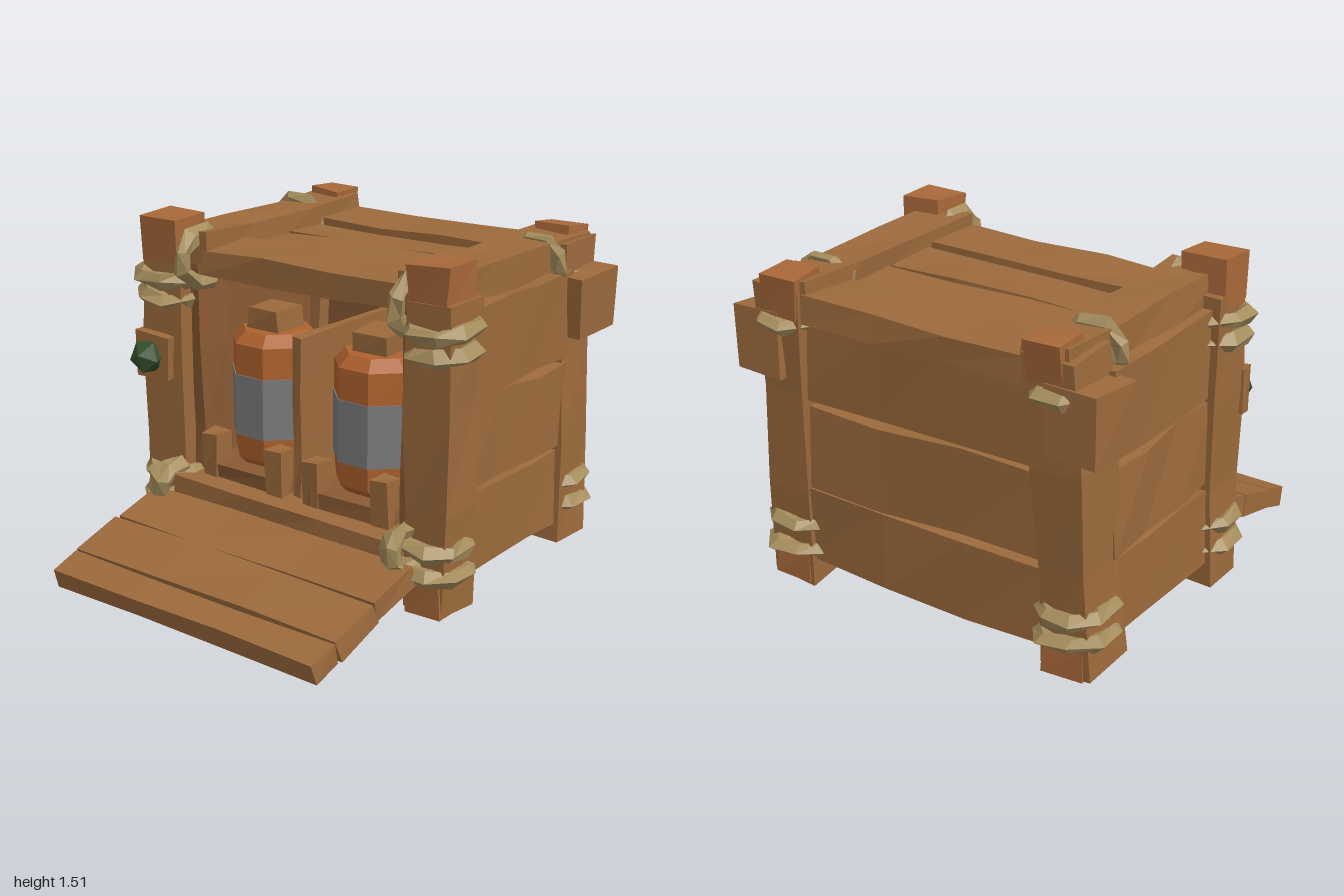
import * as THREE from 'three';

const mat = (color) => new THREE.MeshStandardMaterial({ color, flatShading: true, side: THREE.DoubleSide });
const WOOD = mat(0x9c6a3c), DARK = mat(0x8a5a33), END = mat(0xa8683a), ROPE = mat(0xa48c5c);
const ORANGE = mat(0xb0622e), GREY = mat(0x7c7a7a), GREEN = mat(0x34502c);

// Repeatable offset in -1..1 from a position, so shared corners stay together
function noise(x, y, z, k) {
  const s = Math.sin(Math.round(x * 1000) * 12.9898 + Math.round(y * 1000) * 78.233 + Math.round(z * 1000) * 37.719 + k * 51.17) * 43758.5453;
  return (s - Math.floor(s)) * 2 - 1;
}

let seed = 1;
// Hand-carved look: nudge every corner slightly
function roughen(geo, amount) {
  const p = geo.attributes.position, k = seed++;
  for (let i = 0; i < p.count; i++) {
    const x = p.getX(i), y = p.getY(i), z = p.getZ(i);
    p.setXYZ(i, x + amount * noise(x, y, z, k), y + amount * noise(x, y, z, k + 0.3), z + amount * noise(x, y, z, k + 0.6));
  }
  return geo;
}

function add(parent, name, geo, material, x, y, z, rx = 0, ry = 0, rz = 0) {
  const mesh = new THREE.Mesh(geo, material);
  mesh.name = name;
  mesh.position.set(x, y, z);
  mesh.rotation.set(rx, ry, rz);
  parent.add(mesh);
  return mesh;
}

// Rough timber given by its limits on each axis
function timber(parent, name, [x0, x1], [y0, y1], [z0, z1], material = WOOD, rough = 0.01, rot = [0, 0, 0]) {
  const w = x1 - x0, h = y1 - y0, d = z1 - z0;
  const seg = (s) => (s > 0.5 ? 3 : 1);
  const geo = roughen(new THREE.BoxGeometry(w, h, d, seg(w), seg(h), seg(d)), rough);
  return add(parent, name, geo, material, (x0 + x1) / 2, (y0 + y1) / 2, (z0 + z1) / 2, ...rot);
}

// Chunky faceted rope loop lying in the xz plane; rx, rz are outer half widths
function ropeLoop(parent, name, x, y, z, rx, rz, thick, rot = [0, 0, 0]) {
  const geo = new THREE.TorusGeometry(0.77, 0.31, 5, 8);
  geo.rotateZ(Math.PI / 8);
  geo.rotateX(Math.PI / 2);
  geo.scale(rx, thick / 0.6, rz);
  return add(parent, name, roughen(geo, 0.012), ROPE, x, y, z, ...rot);
}

function buildFrame(g) {
  for (const s of [-1, 1]) {
    const span = (a, b) => (s > 0 ? [a, b] : [-b, -a]);
    // Corner posts with blocky ends
    timber(g, 'frontPost', span(0.61, 0.82), [0.04, 1.36], [0.05, 0.28], WOOD, 0.015);
    timber(g, 'frontPostTop', span(0.62, 0.81), [1.3, 1.51], [0.09, 0.28], END, 0.012);
    timber(g, 'frontPostFoot', span(0.63, 0.81), [0.035, 0.2], [0.08, 0.29], END);
    timber(g, 'backPost', span(0.57, 0.79), [0.06, 1.42], [-0.91, -0.66], WOOD, 0.015, [-0.04, 0, s * 0.03]);
    timber(g, 'backPostTop', span(0.555, 0.72), [1.3, 1.475], [-0.945, -0.79], END, 0.01, [-0.08, 0, s * 0.05]);
    timber(g, 'backPostFoot', span(0.6, 0.79), [0.06, 0.2], [-0.89, -0.66], END);
    timber(g, 'cornerBlock', span(0.64, 0.87), [1.02, 1.3], [-0.95, -0.67], WOOD, 0.012, [0.04, 0, s * -0.04]);
    // Top side beam and inner jamb
    timber(g, 'topSideBeam', span(0.52, 0.74), [1.27, 1.445], [-0.92, 0.2], WOOD, 0.012);
    timber(g, 'jamb', span(0.55, 0.64), [0.2, 1.3], [0.02, 0.2], DARK, 0.012);

    // Rope bands round the posts
    for (const [y, r] of [[1.245, 0.165], [1.15, 0.15]]) ropeLoop(g, 'frontUpperRope', s * 0.725, y, 0.18, r, r + 0.01, 0.07, [0.04, 0, s * 0.06]);
    for (const [y, r] of [[0.33, 0.16], [0.22, 0.165]]) {
      ropeLoop(g, 'frontLowerRope', s * 0.71, y, 0.19, r, r + 0.015, 0.07, [-0.04, 0, s * -0.06]);
      ropeLoop(g, 'backLowerRope', s * 0.69, y, -0.79, r, r + 0.015, 0.07, [0.04, 0, s * 0.06]);
    }
    ropeLoop(g, 'backUpperRope', s * 0.67, 1.26, -0.82, 0.145, 0.17, 0.07);
    // Rope loops tying the beams to the posts
    ropeLoop(g, 'frontBeamRope', s * 0.57, 1.33, 0.18, 0.14, 0.15, 0.07, [0, 0, Math.PI / 2 - s * 0.1]);
    ropeLoop(g, 'sideBeamRope', s * 0.655, 1.36, -0.63, 0.15, 0.115, 0.055, [Math.PI / 2, 0, 0]);
    ropeLoop(g, 'sillRope', s * 0.64, 0.31, 0.31, 0.1, 0.12, 0.1, [0, 0, Math.PI / 2 + s * 0.2]);
  }
}

function buildPanels(g) {
  // Three planks on each side and at the back
  const rows = [[0.15, 0.5], [0.52, 0.9], [0.92, 1.31]];
  rows.forEach(([y0, y1], i) => {
    const tilt = [0.015, -0.015, 0.01][i];
    for (const s of [-1, 1]) {
      const xs = s > 0 ? [0.66, 0.79] : [-0.79, -0.66];
      timber(g, 'sidePlank', xs, [y0, y1], [-0.7, 0.08], WOOD, 0.012, [tilt, 0, 0]);
    }
    timber(g, 'backPlank', [-0.62, 0.62], [y0, y1], [-0.88, -0.77], WOOD, 0.014, [0, 0, tilt]);
  });
  // Inner lining closes the gaps between planks
  for (const s of [-1, 1]) timber(g, 'sideLining', [s * 0.65 - 0.02, s * 0.65 + 0.02], [0.2, 1.3], [-0.8, 0.1], DARK, 0.003);
  timber(g, 'backLining', [-0.64, 0.64], [0.2, 1.3], [-0.78, -0.74], DARK, 0.003);

  // Roof slats
  for (const [z0, z1, y] of [[-0.92, -0.63, 1.385], [-0.61, -0.385, 1.36], [-0.375, -0.11, 1.365], [-0.095, 0.2, 1.385]])
    timber(g, 'roofSlat', [-0.54, 0.54], [y - 0.11, y], [z0, z1], WOOD, 0.01, [0, 0, 0.015]);
  timber(g, 'roofLining', [-0.6, 0.6], [1.25, 1.3], [-0.85, 0.1], DARK, 0.003);

  // Floor and front sill
  for (let i = 0; i < 3; i++) timber(g, 'floorPlank', [-0.66, 0.66], [0.22, 0.35], [-0.8 + i * 0.31, -0.5 + i * 0.31], DARK, 0.006);
  timber(g, 'frontSill', [-0.62, 0.62], [0.18, 0.35], [0.1, 0.34], WOOD, 0.012);
  timber(g, 'backSill', [-0.6, 0.6], [0.15, 0.3], [-0.8, -0.68], DARK);
  // Upright divider between the two bays
  timber(g, 'divider', [-0.028, 0.02], [0.34, 1.07], [-0.74, 0.2], WOOD, 0.006);
}

function buildRamp(g) {
  const slope = 0.275;
  for (const [z, len] of [[0.925, 0.145], [0.725, 0.25], [0.47, 0.26]]) {
    const y = 0.06 + (0.97 - z) * 0.28;
    timber(g, 'rampSlat', [-0.705, 0.72], [y - 0.047, y + 0.047], [z - len / 2, z + len / 2], WOOD, 0.007, [slope, 0, 0]);
  }
}

function buildCanister(g, x) {
  const c = new THREE.Group();
  c.name = 'canister';
  c.position.set(x, 0, 0);
  g.add(c);
  // Eight-sided body in stacked bands: [bottom, top, lower radius, upper radius, material]
  const bands = [
    [0.41, 0.45, 0.15, 0.19, ORANGE], [0.45, 0.56, 0.19, 0.2, ORANGE], [0.56, 0.84, 0.205, 0.205, GREY],
    [0.84, 0.98, 0.2, 0.2, ORANGE], [0.98, 1.03, 0.2, 0.15, ORANGE],
  ];
  for (const [y0, y1, r0, r1, m] of bands) {
    const geo = new THREE.CylinderGeometry(r1, r0, y1 - y0, 8);
    geo.rotateY(Math.PI / 8);
    add(c, m === GREY ? 'canisterLabelBand' : 'canisterShell', geo, m, 0, (y0 + y1) / 2, 0);
  }
  timber(c, 'canisterCap', [-0.085, 0.085], [1.02, 1.12], [-0.085, 0.085], WOOD, 0.01);
  // Cradle: low rails and four corner stubs
  for (const s of [-1, 1]) {
    timber(c, 'cradleRail', [-0.2, 0.2], [0.34, 0.42], [s * 0.2 - 0.04, s * 0.2 + 0.04], DARK, 0.007);
    timber(c, 'cradleSideRail', [s * 0.19 - 0.035, s * 0.19 + 0.035], [0.34, 0.41], [-0.2, 0.2], DARK, 0.007);
    for (const t of [-1, 1])
      timber(c, 'cradleStub', [s * 0.185 - 0.042, s * 0.185 + 0.042], [0.34, 0.55], [t * 0.2 - 0.05, t * 0.2 + 0.05], WOOD, 0.009);
  }
  timber(c, 'cradleBase', [-0.19, 0.19], [0.34, 0.41], [-0.19, 0.19], DARK, 0.004);
}

export function createModel() {
  const root = new THREE.Group();
  root.name = 'canisterCrate';
  const part = (name, build) => {
    const g = new THREE.Group();
    g.name = name;
    build(g);
    root.add(g);
  };
  part('frame', buildFrame);
  part('panels', buildPanels);
  part('ramp', buildRamp);
  part('canisters', (g) => [-0.285, 0.285].forEach((x) => buildCanister(g, x)));
  // Small green gem on a plaque
  part('gemPlaque', (g) => {
    timber(g, 'plaque', [-0.84, -0.65], [0.785, 0.985], [0.25, 0.32], WOOD, 0.008);
    const gem = add(g, 'gem', new THREE.IcosahedronGeometry(0.08, 0), GREEN, -0.76, 0.88, 0.325, 0.3, 0.2, 0);
    gem.scale.setScalar(1.05);
  });
  return root;
}
